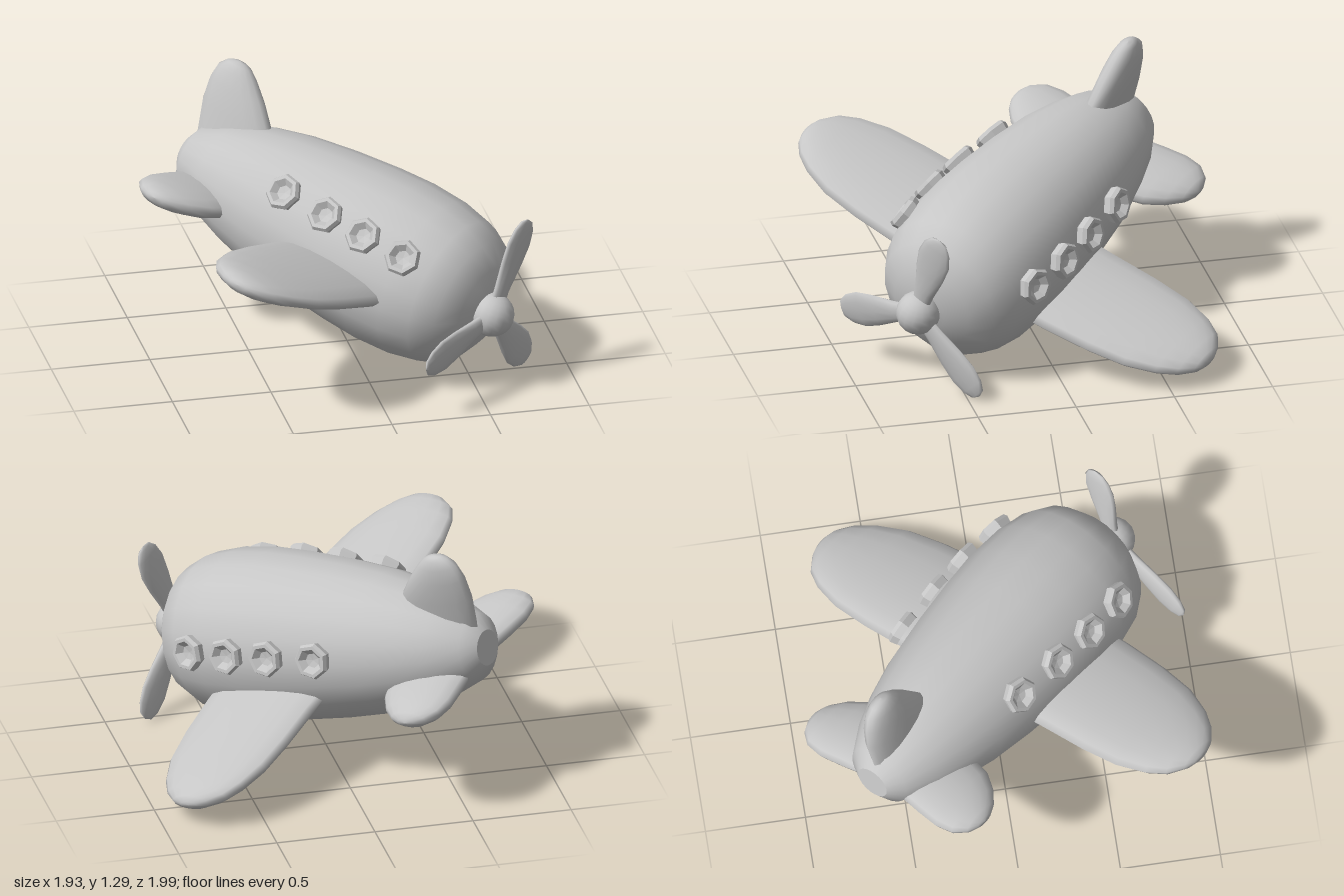
import * as THREE from 'three';

const grey = new THREE.MeshStandardMaterial({ color: 0xc6c6c6 });
grey.name = 'plain grey';

function add(parent, name, geometry) {
  const mesh = new THREE.Mesh(geometry, grey);
  mesh.name = name;
  parent.add(mesh);
  return mesh;
}

// Rounded blade along +x; each station is [x, chord centre z, half chord, half thickness]
function loft(stations, sides = 16) {
  const pos = [], index = [];
  stations.forEach(([x, cz, chord, thick], i) => {
    for (let j = 0; j < sides; j++) {
      const a = (j / sides) * Math.PI * 2;
      pos.push(x, thick * Math.sin(a), cz + chord * Math.cos(a));
      if (i === stations.length - 1) continue;
      const k = (j + 1) % sides, p = i * sides, q = p + sides;
      index.push(p + j, q + j, p + k);
      if (i < stations.length - 2) index.push(p + k, q + j, q + k);
    }
  });
  const g = new THREE.BufferGeometry();
  g.setAttribute('position', new THREE.Float32BufferAttribute(pos, 3));
  g.setIndex(index);
  g.computeVertexNormals();
  return g;
}

const lathe = (points, sides) =>
  new THREE.LatheGeometry(points.map(([r, h]) => new THREE.Vector2(r, h)), sides);

export function createModel() {
  const model = new THREE.Group();
  model.name = 'toyAirplane';

  // Local frame: x to the plane's left, y up, z toward the nose
  const plane = new THREE.Group();
  plane.name = 'bankedAirplane';
  const left = new THREE.Vector3(0.678, -0.289, -0.678).normalize();
  const nose = new THREE.Vector3(0.642, -0.213, 0.738).normalize();
  const up = new THREE.Vector3().crossVectors(nose, left).normalize();
  nose.crossVectors(left, up);
  plane.quaternion.setFromRotationMatrix(new THREE.Matrix4().makeBasis(left, up, nose));
  plane.position.set(0.065, 0.583, 0.082);
  model.add(plane);

  // Fuselage: [radius, distance along the axis]
  const hull = new THREE.Group();
  hull.name = 'hull';
  hull.position.set(-0.01, -0.004, 0);
  hull.rotation.set(-0.012, 0.017, 0);
  plane.add(hull);
  const body = lathe([
    [0.09, -1.075], [0.17, -1.02], [0.255, -0.86], [0.31, -0.7], [0.358, -0.5],
    [0.394, -0.25], [0.418, 0], [0.428, 0.2], [0.418, 0.4], [0.385, 0.56],
    [0.325, 0.67], [0.22, 0.745], [0.1, 0.782], [0, 0.79],
  ], 20);
  body.rotateX(Math.PI / 2);
  add(hull, 'fuselage', body);
  const tailCap = add(hull, 'tailCap', new THREE.CircleGeometry(0.09, 20));
  tailCap.rotation.y = Math.PI;
  tailCap.position.z = -1.075;

  // Wings and stabilizers: symmetric sections, so a half turn mirrors them
  const wing = loft([
    [0.2, 0.07, 0.335, 0.078], [0.45, 0.07, 0.33, 0.078], [0.7, 0.06, 0.32, 0.075],
    [0.9, 0.05, 0.295, 0.072], [1.05, 0.04, 0.24, 0.066], [1.14, 0.035, 0.18, 0.058],
    [1.195, 0.04, 0.105, 0.042], [1.215, 0.04, 0.05, 0.02], [1.218, 0.04, 0, 0],
  ]);
  const stabilizer = loft([
    [0.08, -0.8, 0.205, 0.07], [0.25, -0.82, 0.215, 0.074], [0.37, -0.845, 0.205, 0.07],
    [0.46, -0.87, 0.165, 0.062], [0.52, -0.88, 0.105, 0.046], [0.545, -0.88, 0.05, 0.024],
    [0.552, -0.88, 0, 0],
  ]);
  for (const [side, turn] of [['left', 0], ['right', Math.PI]]) {
    const halfWing = add(plane, side + 'Wing', wing);
    halfWing.rotation.z = turn;
    halfWing.position.y = -0.1;
    const halfTail = add(plane, side + 'Stabilizer', stabilizer);
    halfTail.rotation.z = turn + 0.05;
    halfTail.position.set(-0.03, -0.1, 0);
  }

  // Upright tail fin
  const fin = add(plane, 'tailFin', loft([
    [0.12, -0.83, 0.23, 0.07], [0.3, -0.88, 0.215, 0.075], [0.42, -0.93, 0.165, 0.071],
    [0.5, -0.96, 0.115, 0.058], [0.542, -0.965, 0.07, 0.04], [0.556, -0.965, 0.035, 0.02],
    [0.56, -0.965, 0, 0],
  ]));
  fin.rotation.z = Math.PI / 2 + 0.04;
  fin.position.set(-0.035, -0.022, 0.005);

  // Propeller
  const propeller = new THREE.Group();
  propeller.name = 'propeller';
  propeller.position.set(-0.025, 0.005, 0.82);
  propeller.rotation.set(-0.046, -0.07, 0);
  plane.add(propeller);
  add(propeller, 'hub', new THREE.SphereGeometry(0.11, 16, 12));
  const blade = loft([
    [0.04, 0, 0.045, 0.025], [0.15, 0, 0.058, 0.027], [0.28, 0, 0.085, 0.026],
    [0.38, 0, 0.096, 0.024], [0.455, 0, 0.08, 0.02], [0.5, 0, 0.048, 0.014], [0.515, 0, 0, 0],
  ], 12);
  blade.rotateX(Math.PI / 2);
  for (const degrees of [86, 212, -31]) {
    add(propeller, 'blade', blade).rotation.z = THREE.MathUtils.degToRad(degrees);
  }

  // Portholes: faceted raised rings with a shallow bowl
  const porthole = lathe([
    [0.086, -0.03], [0.095, 0.008], [0.084, 0.027], [0.066, 0.027], [0.038, -0.002], [0, -0.008],
  ], 7).toNonIndexed();
  porthole.computeVertexNormals();
  const axis = new THREE.Vector3(0, 1, 0);
  for (const [name, side, angle] of [['leftWindow', 1, 0.42], ['rightWindow', -1, 0.39]]) {
    for (const [z, r, slope] of [[-0.32, 0.41, -0.11], [-0.05, 0.434, -0.06], [0.19, 0.443, 0], [0.43, 0.428, 0.14]]) {
      const window = add(plane, name, porthole);
      const out = new THREE.Vector3(side * Math.cos(angle), Math.sin(angle), 0);
      window.position.copy(out).multiplyScalar(r).setZ(z);
      window.quaternion.setFromUnitVectors(axis, out.setZ(slope).normalize());
    }
  }
  return model;
}
